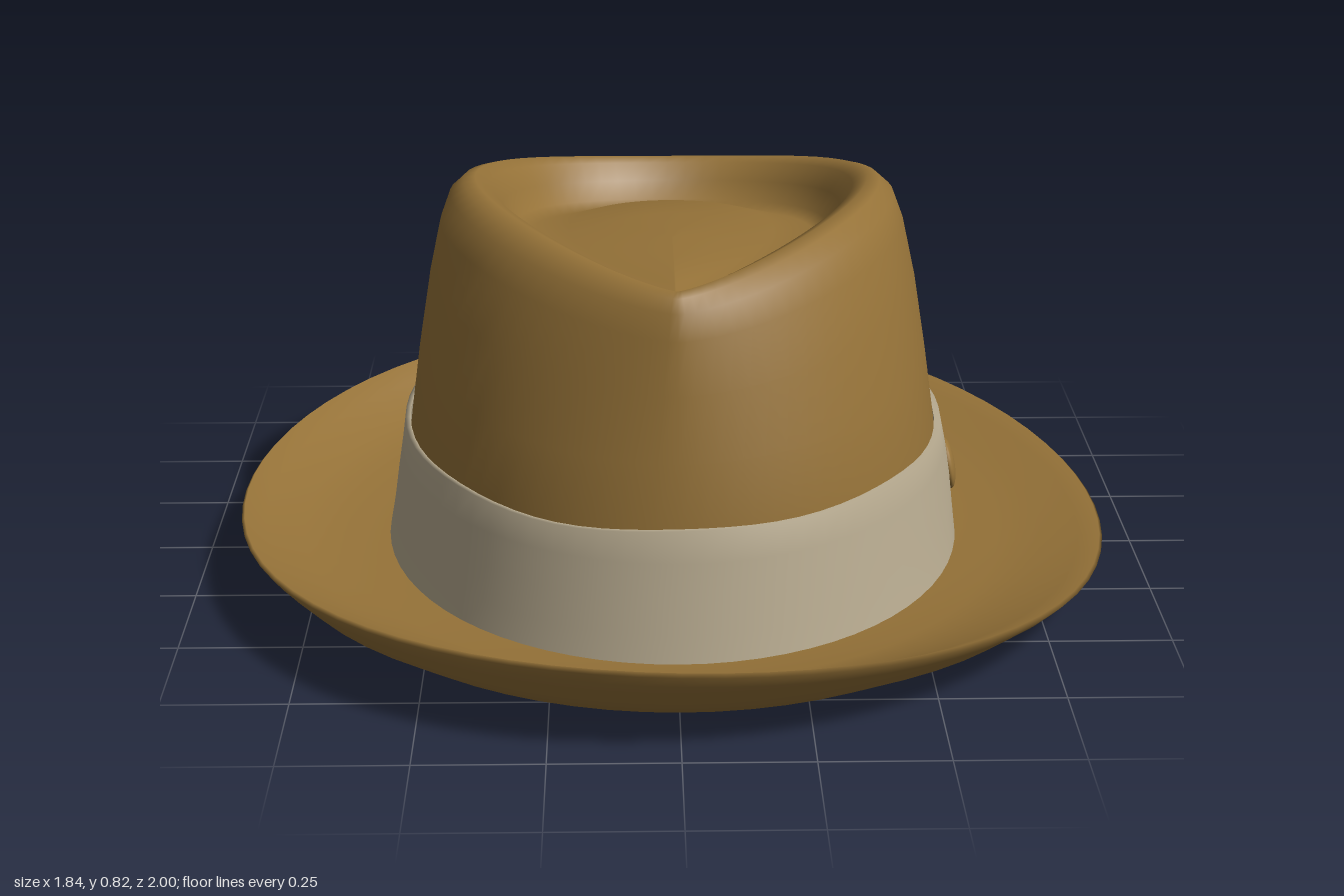
import * as THREE from 'three';

const SEG = 72;

// Skin closed loops of points; loops[i](theta) -> [x, y, z], theta = 0 faces front
function loft(loops, capEnd = false) {
  const pos = [], idx = [];
  for (const loop of loops)
    for (let j = 0; j < SEG; j++) pos.push(...loop((j / SEG) * Math.PI * 2));
  for (let i = 0; i < loops.length - 1; i++)
    for (let j = 0; j < SEG; j++) {
      const k = (j + 1) % SEG, a = i * SEG + j, b = i * SEG + k;
      idx.push(a, b, b + SEG, a, b + SEG, a + SEG);
    }
  if (capEnd) {
    const last = (loops.length - 1) * SEG;
    for (let j = 1; j < SEG - 1; j++) idx.push(last, last + j, last + j + 1);
  }
  const g = new THREE.BufferGeometry();
  g.setAttribute('position', new THREE.Float32BufferAttribute(pos, 3));
  g.setIndex(idx);
  g.computeVertexNormals();
  return g;
}

// Ellipse (m = 0) to teardrop (m = 1) with its tip at the front
function drop(t, w, d, m) {
  const peak = 2 * Math.pow((m + 1) / (m + 2), (m + 1) / 2) / Math.sqrt(m + 2);
  return [(w / peak) * Math.sin(t) * Math.pow(Math.sin(t / 2), m), d * Math.cos(t)];
}

// Oval loop; y may vary with the angle, bulge swells the diagonals
const oval = (w, d, y, bulge = 0) => (t) => {
  const k = 1 + bulge * Math.sin(2 * t) ** 2;
  return [k * w * Math.sin(t), typeof y === 'function' ? y(t) : y, k * d * Math.cos(t)];
};

export function createModel() {
  const hat = new THREE.Group();
  hat.name = 'hat';
  const mat = (name, color) => {
    const m = new THREE.MeshStandardMaterial({ color, side: THREE.DoubleSide });
    m.name = name;
    return m;
  };
  const felt = mat('brown felt', 0x957238);
  const ribbon = mat('beige ribbon', 0xb9ac91);
  const lining = mat('dark lining', 0x1f2022);
  const add = (name, geometry, material) => {
    const mesh = new THREE.Mesh(geometry, material);
    mesh.name = name;
    hat.add(mesh);
    return mesh;
  };

  // Crown: oval base rising to a teardrop rim, then down into the dent
  // [half width, half depth, pointedness, height fraction from band to rim]
  const rimY = (z) => 0.816 - 0.22 * (z - 0.1) ** 2;
  const wall = [
    [0.555, 0.67, 0, 0], [0.535, 0.65, 0.06, 0.3], [0.512, 0.63, 0.17, 0.6],
    [0.488, 0.613, 0.3, 0.83], [0.468, 0.6, 0.4, 0.94], [0.44, 0.584, 0.49, 0.99],
    [0.415, 0.564, 0.57, 1], [0.385, 0.54, 0.66, 0.96], [0.36, 0.515, 0.76, 0.86],
    [0.335, 0.49, 0.84, 0.76], [0.305, 0.455, 0.9, 0.72],
  ];
  const crownLoops = wall.map(([w, d, m, f]) => (t) => {
    const [x, z] = drop(t, w, d, m);
    return [x, THREE.MathUtils.lerp(0.32, rimY(z), f), z];
  });
  const floor = [[0.22, 0.34, 0.685], [0.12, 0.19, 0.695], [0.02, 0.03, 0.7]];
  for (const [w, d, y] of floor)
    crownLoops.push((t) => {
      const [x, z] = drop(t, w, d, 0.9);
      return [x, y + 0.04 * z, z - 0.03];
    });
  add('crown', loft([oval(0.585, 0.695, 0.04), ...crownLoops], true), felt);

  // Brim: closed section from the underside, around the curled edge, to the top
  const edge = (t) => 0.115 + 0.0575 * Math.cos(t) ** 2 - 0.025 * Math.sin(t) + 0.0075 * Math.cos(t);
  const lift = (base, k) => (t) => base + k * (edge(t) - 0.06);
  add('brim', loft([
    oval(0.57, 0.674, 0.06), oval(0.57, 0.674, 0.025), oval(0.7, 0.8, 0.02),
    oval(0.78, 0.865, lift(0.022, 0.1)), oval(0.85, 0.93, lift(0.03, 0.45), 0.008),
    oval(0.9, 0.98, lift(0.042, 0.85), 0.008), oval(0.92, 1, lift(0.055, 0.98), 0.008),
    oval(0.914, 0.994, lift(0.06, 1), 0.008), oval(0.87, 0.95, lift(0.062, 0.7), 0.008),
    oval(0.79, 0.88, lift(0.06, 0.32)), oval(0.7, 0.8, lift(0.058, 0.08)),
    oval(0.575, 0.685, 0.06),
  ]), felt);

  // Ribbon around the crown, uneven along the top and swelling into a flat bow on the left side
  const top = (t) => 0.322 + 0.004 * Math.sin(3 * t) + 0.003 * Math.cos(7 * t);
  const band = (w, d, y, swell) => (t) => {
    const [x, h, z] = oval(w, d, y)(t);
    return [x + swell * Math.exp(-(((t - Math.PI / 2) / 0.2) ** 4)), h, z];
  };
  add('ribbon', loft([
    band(0.61, 0.72, 0.055, 0), band(0.598, 0.71, 0.12, 0.004), band(0.588, 0.7, 0.19, 0.006),
    band(0.577, 0.69, 0.26, 0.006), band(0.568, 0.682, top, 0.003), band(0.557, 0.671, top, 0),
  ]), ribbon);

  // Round button on the bow
  const button = add('button', new THREE.SphereGeometry(0.056, 24, 16), felt);
  button.scale.x = 0.28;
  button.position.set(0.595, 0.185, -0.005);
  button.rotation.z = 0.16;

  // Inner sweatband and the head lining stretched across the inside
  add('sweatband', loft([
    oval(0.567, 0.671, 0.025), oval(0.56, 0.666, 0.11), oval(0.552, 0.659, 0.205),
  ]), lining);
  const ceiling = (s) => (t) => {
    const [x, , z] = oval(0.53 * s, 0.64 * s, 0)(t);
    return [x, 0.31 + 0.08 * z - 0.1 * x, z];
  };
  add('headLining', loft([ceiling(1), ceiling(0.5)], true), felt);

  // Small stitched knots under the brim
  for (const x of [-0.5, 0.44]) {
    const knot = add('knot', new THREE.SphereGeometry(0.025, 12, 8), felt);
    knot.scale.y = 0.6;
    knot.position.set(x, 0.015, -0.58);
  }
  return hat;
}
